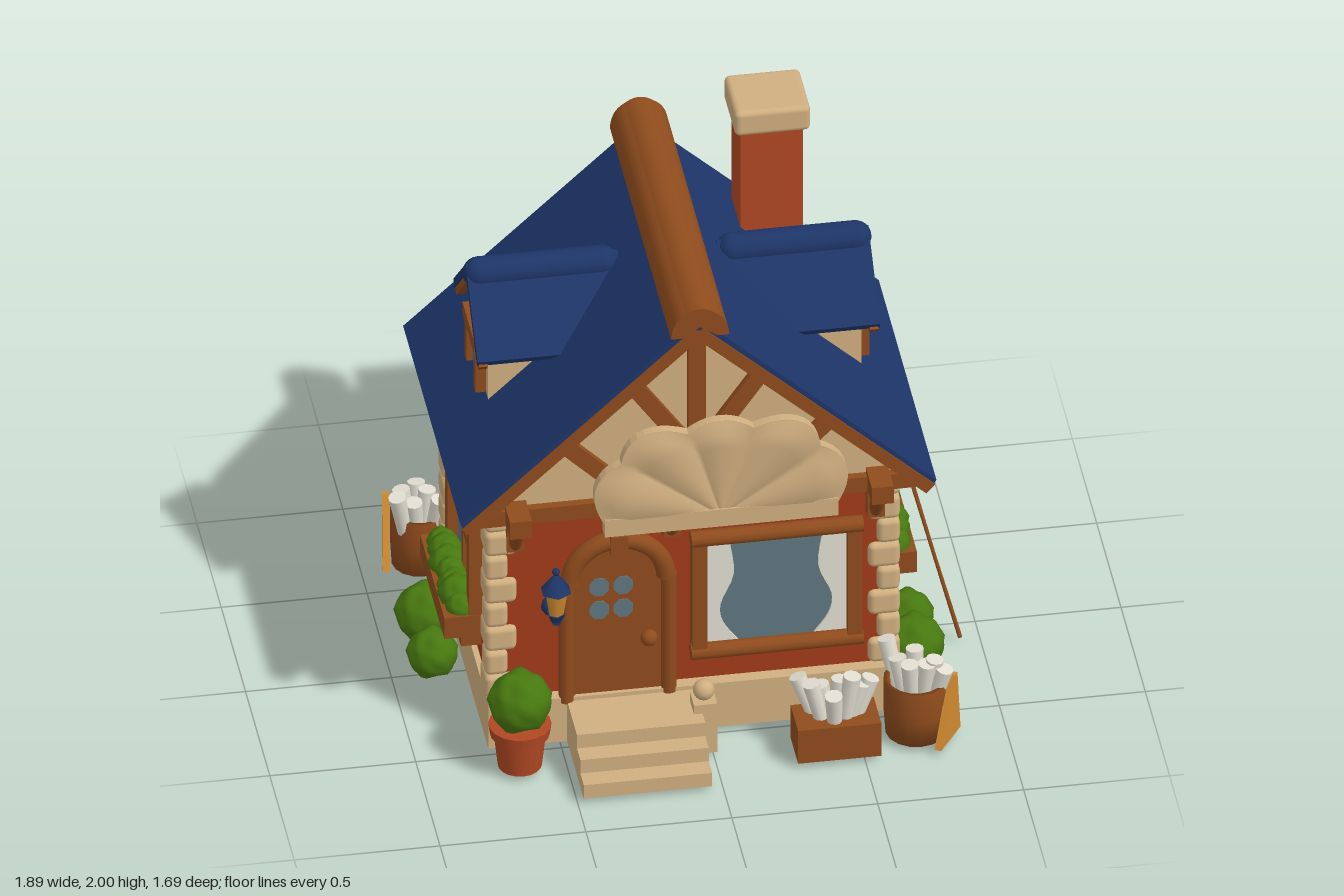
import * as THREE from 'three';
import { RoundedBoxGeometry } from 'three/addons/geometries/RoundedBoxGeometry.js';
import { ParametricGeometry } from 'three/addons/geometries/ParametricGeometry.js';

const mat = (name, color, side = THREE.FrontSide) => {
  const m = new THREE.MeshStandardMaterial({ color, side });
  m.name = name;
  return m;
};
const M = {
  red: mat('red plaster', 0xa03b19, THREE.DoubleSide), stone: mat('sandstone', 0xd0af80, THREE.DoubleSide),
  wood: mat('brown wood', 0x8f4c1d), roof: mat('blue roof', 0x1d3568), clay: mat('terracotta', 0xb04823),
  green: mat('leaf green', 0x47780f), paper: mat('paper white', 0xe2ded2), glass: mat('window glass', 0x5f7780),
  amber: mat('amber', 0xd08a30),
};
const V = (x, y, z) => new THREE.Vector3(x, y, z);

function add(parent, name, geo, material, x = 0, y = 0, z = 0) {
  const m = new THREE.Mesh(geo, material);
  m.name = name;
  m.position.set(x, y, z);
  parent.add(m);
  return m;
}
function group(parent, name, x = 0, y = 0, z = 0, ry = 0) {
  const g = new THREE.Group();
  g.name = name;
  g.position.set(x, y, z);
  g.rotation.y = ry;
  parent.add(g);
  return g;
}
const box = (p, n, m, w, h, d, x, y, z) => add(p, n, new THREE.BoxGeometry(w, h, d), m, x, y, z);
// round pole between two points
function pole(p, n, m, a, b, r, r2 = r) {
  const o = add(p, n, new THREE.CylinderGeometry(r2, r, a.distanceTo(b), 10), m);
  o.position.copy(a).lerp(b, 0.5);
  o.quaternion.setFromUnitVectors(V(0, 1, 0), b.clone().sub(a).normalize());
}
// flat plank in an x-y plane
function plank(p, n, x1, y1, x2, y2, w, d, z) {
  const o = box(p, n, M.wood, Math.hypot(x2 - x1, y2 - y1), w, d, (x1 + x2) / 2, (y1 + y2) / 2, z);
  o.rotation.z = Math.atan2(y2 - y1, x2 - x1);
}
// outline extruded from z0 to z1
function extrude(p, n, m, pts, z0, z1) {
  const shape = Array.isArray(pts) ? new THREE.Shape(pts.map(q => new THREE.Vector2(...q))) : pts;
  return add(p, n, new THREE.ExtrudeGeometry(shape, { depth: z1 - z0, bevelEnabled: false, curveSegments: 16 }), m, 0, 0, z0);
}
// four walls without floor or ceiling
function ring(p, n, m, w, h, d, y, z) {
  const g = new THREE.CylinderGeometry(Math.SQRT1_2, Math.SQRT1_2, 1, 4, 1, true).rotateY(Math.PI / 4).scale(w, h, d).toNonIndexed();
  g.computeVertexNormals();
  add(p, n, g, m, 0, y, z);
}
function bush(p, x, y, z, r) {
  const g = new THREE.SphereGeometry(r, 24, 16), a = g.attributes.position, v = V(0, 0, 0);
  for (let i = 0; i < a.count; i++) {
    v.fromBufferAttribute(a, i);
    const k = 0.96 + 0.09 * Math.sin(v.x / r * 6 + 1) * Math.sin(v.y / r * 6) * Math.cos(v.z / r * 6);
    a.setXYZ(i, v.x * k, v.y * k, v.z * k);
  }
  g.computeVertexNormals();
  add(p, 'bush', g, M.green, x, y, z);
}
let seed = 7;
const rnd = () => (seed = (seed * 16807) % 2147483647) / 2147483647;

// window facing +z with posts, cross bars, lintel and sill
function crossWindow(p, x, z, ry, w, planter) {
  const g = group(p, 'crossWindow', x, 0, z, ry), h = w / 2;
  box(g, 'glass', M.glass, w, 0.34, 0.02, 0, 0.6, 0.005);
  for (const s of [-1, 1]) box(g, 'windowPost', M.wood, 0.055, 0.36, 0.06, s * (h - 0.01), 0.59, 0.02);
  box(g, 'mullion', M.wood, 0.035, 0.34, 0.035, 0, 0.6, 0.015);
  box(g, 'crossBar', M.wood, w, 0.03, 0.035, 0, 0.62, 0.015);
  pole(g, 'lintel', M.wood, V(-h - 0.03, 0.785, 0.03), V(h + 0.03, 0.785, 0.03), 0.03);
  if (!planter) {
    pole(g, 'sill', M.wood, V(-h - 0.03, 0.41, 0.03), V(h + 0.03, 0.41, 0.03), 0.035);
    return;
  }
  box(g, 'planterBox', M.wood, w + 0.04, 0.085, 0.13, 0, 0.38, 0.07);
  for (const s of [-1, 1]) box(g, 'planterBracket', M.wood, 0.06, 0.08, 0.07, s * 0.17, 0.305, 0.035);
  for (let i = 0; i < 7; i++) bush(g, (i - 3) * 0.064, 0.425 + 0.012 * (i % 2), 0.07, 0.054 + 0.008 * (i % 3));
}

// timbers on a gable face
function gableTimbers(p, z) {
  const g = group(p, 'gableTimbers');
  box(g, 'kingPost', M.wood, 0.06, 0.6, 0.03, 0, 1.43, z);
  box(g, 'tieBeam', M.wood, 1.5, 0.06, 0.04, 0, 1.01, z);
  for (const s of [-1, 1]) {
    plank(g, 'strut', s * 0.23, 1.52, s * 0.05, 1.26, 0.06, 0.03, z);
    plank(g, 'strut', s * 0.47, 1.3, s * 0.25, 1.08, 0.06, 0.03, z);
    plank(g, 'rafter', s * 0.78, 0.995, 0, 1.715, 0.06, 0.03, z);
  }
}

function dormer(p, s) {
  const g = group(p, 'dormer', 0, 0, -0.065, s * Math.PI / 2);
  extrude(g, 'dormerWall', M.stone, [[-0.165, 1.15], [0.165, 1.15], [0.165, 1.45], [0, 1.58], [-0.165, 1.45]], 0.3, 0.64);
  extrude(g, 'dormerRoof', M.roof, [[0.25, 1.4], [0, 1.635], [-0.25, 1.4], [-0.235, 1.375], [0, 1.595], [0.235, 1.375]], 0.17, 0.69);
  add(g, 'dormerRidge', new THREE.CapsuleGeometry(0.055, 0.42, 6, 16).rotateX(Math.PI / 2), M.roof, 0, 1.595, 0.435);
  for (const k of [-1, 1]) {
    plank(g, 'dormerBarge', k * 0.235, 1.365, 0, 1.585, 0.035, 0.03, 0.67);
    box(g, 'dormerPost', M.wood, 0.04, 0.19, 0.05, k * 0.095, 1.275, 0.65);
  }
  box(g, 'dormerGlass', M.glass, 0.18, 0.18, 0.02, 0, 1.28, 0.645);
  box(g, 'dormerLintel', M.wood, 0.25, 0.05, 0.06, 0, 1.365, 0.65);
}

function lantern(p, x, z, ry) {
  const g = group(p, 'lantern', x, 0, z, ry);
  add(g, 'lanternCap', new THREE.ConeGeometry(0.055, 0.075, 6), M.roof, 0, 0.735, 0);
  add(g, 'finial', new THREE.SphereGeometry(0.014, 8, 6), M.roof, 0, 0.775, 0);
  add(g, 'lanternGlass', new THREE.CylinderGeometry(0.042, 0.026, 0.1, 6), M.amber, 0, 0.65, 0);
  add(g, 'lanternFoot', new THREE.CylinderGeometry(0.032, 0.02, 0.03, 6), M.roof, 0, 0.59, 0);
  pole(g, 'lanternArm', M.roof, V(0, 0.575, 0.01), V(0, 0.565, -0.11), 0.016);
  add(g, 'wallPlate', new THREE.SphereGeometry(0.035, 10, 8), M.roof, 0, 0.565, -0.1);
}

function rolls(p, n, w, d, y, len) {
  for (let i = 0; i < n; i++) {
    const x = (i / (n - 1) - 0.5) * w, z = (rnd() - 0.5) * d;
    pole(p, 'paperRoll', M.paper, V(x * 0.7, y, z * 0.7), V(x * 1.35, y + len * (0.75 + 0.3 * rnd()), z * 1.4), 0.024, 0.031);
  }
}
function barrel(p, x, z, r, tx, tz, tr) {
  const g = group(p, 'paperBarrel', x, 0, z);
  const pts = [[0, 0.02], [r * 0.94, 0.02], [r, 0.12], [r, 0.235], [r * 0.86, 0.235], [r * 0.84, 0.17], [0, 0.17]];
  add(g, 'barrel', new THREE.LatheGeometry(pts.map(q => new THREE.Vector2(...q)), 16), M.wood);
  rolls(g, 7, 0.13, 0.13, 0.12, 0.22);
  // leaning set square
  extrude(group(p, 'setSquare', tx, 0.025, tz, tr), 'setSquarePlate', M.amber, [[-0.08, 0], [0.08, 0], [0.055, 0.24], [0.035, 0.24]], -0.012, 0.012);
}
function pottedPlant(p, x, z) {
  const g = group(p, 'pottedPlant', x, 0, z);
  add(g, 'pot', new THREE.CylinderGeometry(0.09, 0.075, 0.14, 18), M.clay, 0, 0.09, 0);
  add(g, 'potRim', new THREE.CylinderGeometry(0.107, 0.102, 0.04, 18), M.clay, 0, 0.17, 0);
  bush(g, 0, 0.28, 0, 0.112);
}

export function createModel() {
  const root = new THREE.Group();
  root.name = 'cottage';
  const H = group(root, 'house', -0.045);

  // plinth, walls and corner stones
  ring(H, 'plinth', M.stone, 1.41, 0.18, 1.0, 0.11, -0.005);
  for (const s of [-1, 1]) {
    box(H, 'plinthLedge', M.stone, 1.41, 0.01, 0.05, 0, 0.195, s * 0.475 - 0.005);
    box(H, 'plinthLedge', M.stone, 0.05, 0.01, 1.0, s * 0.68, 0.195, -0.005);
  }
  ring(H, 'walls', M.red, 1.37, 0.82, 0.93, 0.6, -0.015);
  for (const sx of [-1, 1]) for (const sz of [-1, 1]) for (let i = 0; i < 8; i++) {
    const w = i % 2 ? 0.08 : 0.11;
    add(H, 'cornerStone', new RoundedBoxGeometry(w, 0.098, w + 0.015, 2, 0.022), M.stone,
      sx * (0.712 - w / 2), 0.25 + i * 0.098, sz * (0.483 - w / 2) - 0.018);
  }

  // gable body, roof, ridge and eave beams
  extrude(H, 'gableBody', M.stone, [[-0.75, 1], [0.75, 1], [0.75, 1.03], [0, 1.735], [-0.75, 1.03]], -0.49, 0.53);
  extrude(H, 'mainRoof', M.roof, [[0.815, 1.02], [0, 1.78], [-0.815, 1.02], [-0.8, 0.99], [0, 1.735], [0.8, 0.99]], -0.6, 0.585);
  const cap = new THREE.Shape().moveTo(-0.1, 1.73).quadraticCurveTo(-0.095, 1.8, -0.05, 1.825)
    .quadraticCurveTo(0, 1.865, 0.05, 1.825).quadraticCurveTo(0.095, 1.8, 0.1, 1.73).lineTo(0.06, 1.73).lineTo(0, 1.77).lineTo(-0.06, 1.73);
  extrude(H, 'ridgeLog', M.wood, cap, -0.64, 0.62);
  gableTimbers(H, 0.54);
  gableTimbers(H, -0.495);
  for (const s of [-1, 1]) {
    plank(H, 'bargeBoard', s * 0.795, 0.987, 0, 1.725, 0.045, 0.03, 0.575);
    box(H, 'eaveBeam', M.wood, 0.075, 0.07, 1.33, s * 0.62, 1.025, -0.01);
    dormer(H, s);
  }
  for (const x of [-0.61, -0.075, 0.625]) {
    box(H, 'bracketPost', M.wood, 0.06, 0.16, 0.04, x, 0.9, 0.47);
    box(H, 'bracketArm', M.wood, 0.06, 0.05, 0.13, x, 0.97, 0.51);
    pole(H, 'bracketBrace', M.wood, V(x, 0.84, 0.47), V(x, 0.97, 0.56), 0.025);
  }

  // chimney
  const C = group(root, 'chimney', 0.353, 0, -0.39);
  box(C, 'chimneyBase', M.stone, 0.24, 0.13, 0.215, 0, 1.385, 0);
  box(C, 'chimneyShaft', M.clay, 0.215, 0.47, 0.18, 0, 1.67, 0);
  add(C, 'chimneyCap', new RoundedBoxGeometry(0.26, 0.1, 0.24, 2, 0.02), M.stone, 0, 1.95, 0);

  // shell-shaped sign board
  const rim = t => {
    const c = Math.cos(t), s = Math.sin(t);
    const r = (0.9 + 0.1 * Math.abs(Math.sin(5 * t))) / Math.cbrt(Math.abs(c / 0.44) ** 3 + Math.abs(s / 0.39) ** 3);
    return [r * c, r * s];
  };
  const S = group(root, 'shellSign', 0.03, 0.97, 0.565);
  extrude(S, 'signBack', M.stone, Array.from({ length: 51 }, (_, i) => rim(i * Math.PI / 50)), 0, 0.035);
  add(S, 'signRibs', new ParametricGeometry((u, v, out) => {
    const t = Math.PI * (1 - u), [x, y] = rim(t), k = 0.02 + 0.98 * v;
    out.set(x * k, y * k, 0.037 + 0.03 * Math.abs(Math.sin(5 * t)) * k * Math.min(1, 4 * (1 - v)));
  }, 50, 8), M.stone);
  box(S, 'signFoot', M.stone, 0.8, 0.07, 0.045, 0, -0.005, 0.0225);

  // arched door
  const D = group(root, 'door', -0.305, 0, 0.45);
  const arch = (r, y0) => new THREE.Shape().moveTo(-r, y0).lineTo(r, y0).lineTo(r, 0.66).absarc(0, 0.66, r, 0, Math.PI, false).lineTo(-r, y0);
  extrude(D, 'doorLeaf', M.wood, arch(0.155, 0.18), -0.01, 0.03);
  add(D, 'doorArch', new THREE.TorusGeometry(0.165, 0.033, 10, 24, Math.PI), M.wood, 0, 0.66, 0.03);
  box(D, 'keystone', M.wood, 0.06, 0.08, 0.09, 0, 0.825, 0.03);
  for (const s of [-1, 1]) {
    pole(D, 'doorPost', M.wood, V(s * 0.175, 0.18, 0.03), V(s * 0.175, 0.67, 0.03), 0.027);
    for (const k of [-1, 1]) {
      const pane = add(D, 'doorPane', new THREE.CylinderGeometry(0.036, 0.036, 0.008, 8).rotateY(Math.PI / 8).rotateX(Math.PI / 2), M.glass, s * 0.041 - 0.022, 0.588 + k * 0.047, 0.03);
      pane.scale.y = 1.08;
    }
  }
  add(D, 'doorKnob', new THREE.SphereGeometry(0.03, 12, 8), M.wood, 0.105, 0.42, 0.05);

  // steps and newel post
  for (let i = 0; i < 3; i++) box(root, 'step', M.stone, 0.44, 0.055, 0.37 - i * 0.07, -0.26, 0.047 + i * 0.055, 0.65 - i * 0.035);
  box(root, 'newelPost', M.stone, 0.08, 0.2, 0.08, -0.03, 0.12, 0.6);
  add(root, 'newelBall', new THREE.SphereGeometry(0.037, 14, 10), M.stone, -0.03, 0.255, 0.6);

  // shop window with drawn curtains
  const W = group(root, 'shopWindow', 0.24, 0, 0.45);
  box(W, 'shopGlass', M.glass, 0.5, 0.44, 0.02, 0, 0.56, 0);
  for (const s of [-1, 1]) {
    const edge = new THREE.SplineCurve([[0.13, 0.355], [0.18, 0.43], [0.19, 0.51], [0.145, 0.63], [0.16, 0.77]]
      .map(([x, y]) => new THREE.Vector2(s * x, y))).getPoints(16).map(q => [q.x, q.y]);
    extrude(W, 'curtain', M.paper, [[s * 0.245, 0.77], [s * 0.245, 0.355], ...edge], 0.012, 0.02);
    box(W, 'shopPost', M.wood, 0.05, 0.46, 0.06, s * 0.266, 0.56, 0.02);
  }
  pole(W, 'shopLintel', M.wood, V(-0.295, 0.795, 0.03), V(0.295, 0.795, 0.03), 0.03);
  pole(W, 'shopSill', M.wood, V(-0.295, 0.33, 0.03), V(0.295, 0.33, 0.03), 0.03);

  // other windows and lanterns
  crossWindow(root, 0.64, -0.095, Math.PI / 2, 0.46, true);
  crossWindow(root, -0.73, 0.03, -Math.PI / 2, 0.46, true);
  crossWindow(root, 0.4, -0.48, Math.PI, 0.36, false);
  lantern(root, -0.53, 0.565, 0);
  lantern(root, 0.58, -0.6, Math.PI);

  // plants
  pottedPlant(root, -0.66, 0.6);
  pottedPlant(root, 0.65, -0.65);
  for (const [x, z, r] of [[0.75, 0.24, 0.108], [0.76, 0.05, 0.092], [-0.85, -0.22, 0.105], [-0.86, 0.0, 0.09]])
    bush(root, x, r * 0.97, z, r);

  // barrels, paper crate and leaning rods
  barrel(root, 0.695, 0.62, 0.112, 0.79, 0.695, Math.PI / 3.2);
  barrel(root, 0.43, -0.74, 0.112, 0.28, -0.73, -Math.PI / 2.9);
  barrel(root, -0.8, -0.63, 0.1, -0.91, -0.655, Math.PI / 2.2);
  const K = group(root, 'paperCrate', 0.41, 0, 0.68);
  box(K, 'crate', M.wood, 0.285, 0.135, 0.155, 0, 0.09, 0);
  rolls(K, 8, 0.18, 0.1, 0.12, 0.2);
  pole(root, 'backPole', M.wood, V(0.38, 0.35, -0.66), V(-0.15, 1.38, -0.49), 0.016);
  pole(root, 'sideRod', M.wood, V(0.93, 0.02, 0.11), V(0.68, 1.0, 0), 0.008, 0.004);
  pole(root, 'sideRodLine', M.wood, V(0.93, 0.02, 0.11), V(0.72, 0.88, 0.01), 0.003);
  return root;
}
